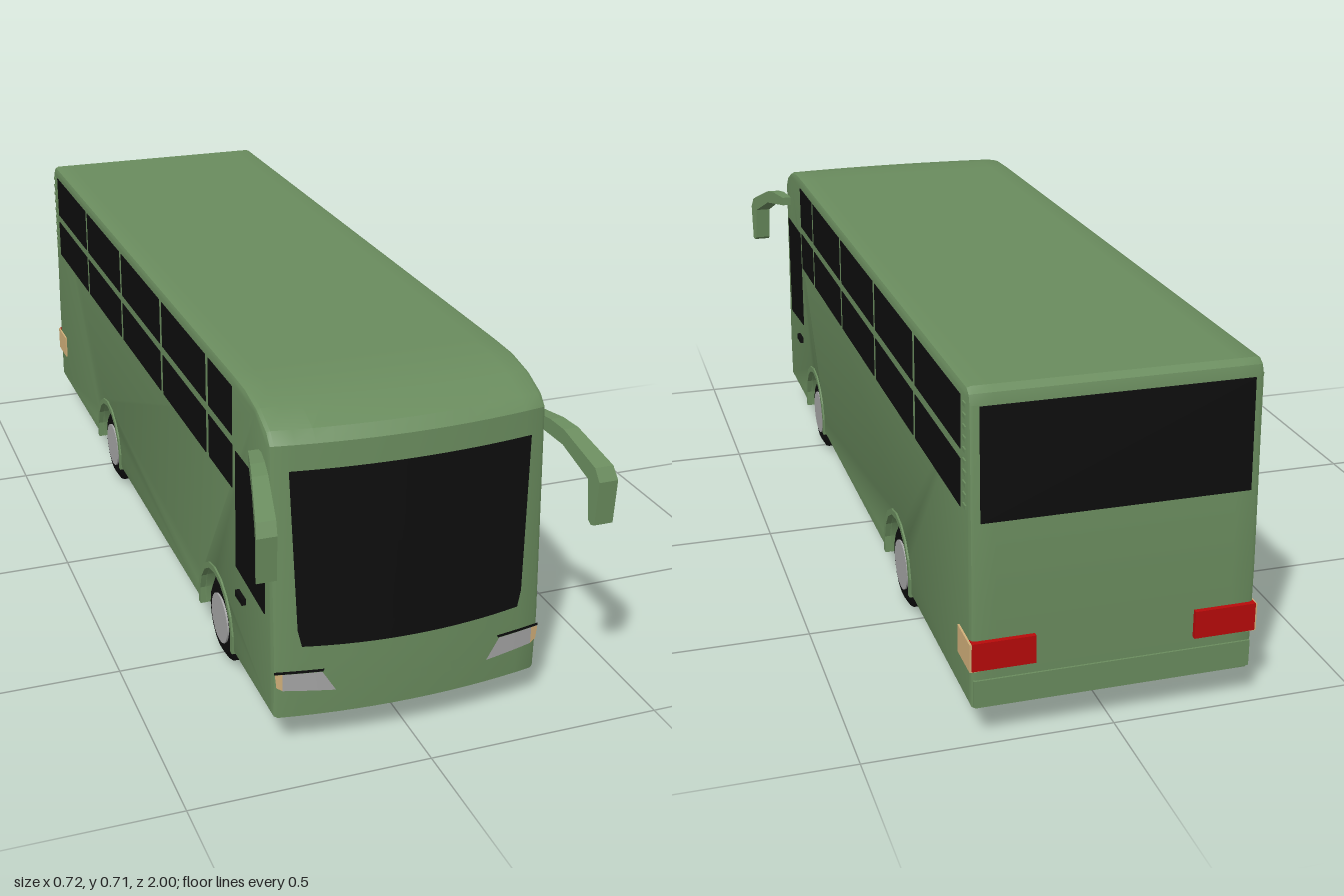
import * as THREE from 'three';
import { toCreasedNormals } from 'three/addons/utils/BufferGeometryUtils.js';

const HALF = 0.285;
const AXLES = [-0.42, 0.51];

export function createModel() {
  const bus = new THREE.Group();
  bus.name = 'bus';
  const mat = (name, color) => {
    const m = new THREE.MeshStandardMaterial({ color });
    m.name = name;
    return m;
  };
  const green = mat('green paint', 0x6a8c5e);
  const black = mat('black glass and rubber', 0x0d0d0d);
  const grey = mat('light grey', 0xa6a6a6);
  const red = mat('tail light red', 0xb80a0a);
  const amber = mat('amber lens', 0xd2b07a);

  const add = (name, geo, material) => {
    const m = new THREE.Mesh(geo, material);
    m.name = name;
    bus.add(m);
    return m;
  };
  // box given by its x, y and z ranges
  const box = (name, material, [x0, x1], [y0, y1], [z0, z1]) => {
    const m = add(name, new THREE.BoxGeometry(Math.abs(x1 - x0), y1 - y0, Math.abs(z1 - z0)), material);
    m.position.set((x0 + x1) / 2, (y0 + y1) / 2, (z0 + z1) / 2);
    return m;
  };
  const shapeOf = (pts) => new THREE.Shape(pts.map(([a, b]) => new THREE.Vector2(a, b)));
  const arc = (zc, r, from, to, n = 10) => Array.from({ length: n + 1 }, (_, i) => {
    const a = from + (to - from) * i / n;
    return [zc + r * Math.cos(a), 0.1 + r * Math.sin(a)];
  });
  // side outline (z, y) extruded across x and centred
  const across = (pts, width, extra = {}) => {
    const g = new THREE.ExtrudeGeometry(shapeOf(pts), { depth: width, bevelEnabled: false, ...extra });
    return g.translate(0, 0, -width / 2).rotateY(-Math.PI / 2);
  };
  const bow = (x) => 0.026 * (1 - Math.min(1, (x / HALF) ** 2));

  // Body shell with wheel arches and a bowed nose
  const outline = [[-0.99, 0.075]];
  for (const z of AXLES) outline.push(...arc(z, 0.108, Math.PI + 0.233, -0.233));
  outline.push([0.872, 0.075], [0.874, 0.2], [0.846, 0.65], [0.825, 0.672], [0.77, 0.695], [0.70, 0.708],
    [0.62, 0.71], [-0.955, 0.71], [-0.97, 0.70], [-0.976, 0.68], [-0.99, 0.30]);
  const shell = across(outline, HALF * 2 - 0.02, {
    steps: 14, bevelEnabled: true, bevelSize: 0.01, bevelThickness: 0.01, bevelOffset: -0.01, bevelSegments: 2,
  });
  const p = shell.attributes.position;
  for (let i = 0; i < p.count; i++) {
    const w = THREE.MathUtils.clamp((p.getZ(i) - 0.7) / 0.12, 0, 1);
    p.setZ(i, p.getZ(i) + w * bow(p.getX(i)));
  }
  add('body', toCreasedNormals(shell, 0.45), green);

  // Thin panel laid on the bowed nose; corners: top left, top right, bottom right, bottom left
  const nosePanel = (name, material, [tl, tr, br, bl], lift = 0.004, sag = 0) => {
    const g = new THREE.PlaneGeometry(1, 1, 16, 2);
    const a = g.attributes.position;
    for (let i = 0; i < a.count; i++) {
      const u = a.getX(i) + 0.5, v = a.getY(i) + 0.5;
      const mix = (k) => THREE.MathUtils.lerp(
        THREE.MathUtils.lerp(bl[k], br[k], u), THREE.MathUtils.lerp(tl[k], tr[k], u), v);
      const x = mix(0), y = mix(1) - sag * (1 - v) * 4 * u * (1 - u);
      const z = y < 0.2 ? 0.874 : 0.874 - 0.028 * (y - 0.2) / 0.45;
      a.setXYZ(i, x, y, z + bow(x) + lift);
    }
    g.computeVertexNormals();
    return add(name, g, material);
  };
  nosePanel('windscreen', black, [[-0.25, 0.6], [0.25, 0.6], [0.238, 0.27], [-0.238, 0.27]]);
  nosePanel('windscreenLower', black, [[-0.238, 0.27], [0.238, 0.27], [0.23, 0.235], [-0.23, 0.235]], 0.004, 0.007);
  nosePanel('bumperInset', green, [[-0.14, 0.148], [0.14, 0.148], [0.11, 0.125], [-0.11, 0.125]], 0.003);

  // Rear window
  const rear = box('rearWindow', black, [-0.265, 0.265], [0.455, 0.678], [-0.984, -0.976]);
  rear.rotation.x = 0.037;
  box('rearBumper', green, [-0.28, 0.28], [0.08, 0.135], [-0.994, -0.98]);

  const columns = [[0.475, 0.63], [0.13, 0.455], [-0.225, 0.11], [-0.575, -0.245], [-0.925, -0.595]];
  for (const s of [1, -1]) {
    const sx = (a, b) => [s * a, s * b];
    // Side glazing in two rows
    for (const col of columns) {
      box('upperSideWindow', black, sx(0.28, 0.2865), [0.58, 0.685], col);
      box('lowerSideWindow', black, sx(0.28, 0.2865), [0.465, 0.56], col);
    }
    const door = across([[0.65, 0.297], [0.825, 0.285], [0.825, 0.555], [0.65, 0.555]], 0.007);
    add('cabWindow', door, black).position.x = s * 0.283;
    box('doorHandle', black, sx(0.28, 0.294), [0.24, 0.254], [0.667, 0.71]);
    for (let i = 0; i < 10; i++) {
      const y = 0.475 + i * 0.022;
      box('ventSlat', green, sx(0.28, 0.288), [y, y + 0.008], [-0.963, -0.945]);
    }

    // Lamps
    const q = [[0.19, 0.175], [0.268, 0.177], [0.268, 0.14], [0.162, 0.13]];
    const ind = [[0.268, 0.177], [0.283, 0.177], [0.28, 0.148], [0.268, 0.14]];
    const side = (c) => s > 0 ? c : [c[1], c[0], c[3], c[2]].map(([x, y]) => [-x, y]);
    nosePanel('headlight', grey, side(q));
    nosePanel('frontIndicator', amber, side(ind));
    const brow = [[0.185, 0.181], [0.284, 0.183], [0.284, 0.177], [0.188, 0.175]];
    nosePanel('headlightBrow', black, side(brow), 0.003);
    box('tailLight', red, sx(0.16, 0.285), [0.16, 0.218], [-1, -0.98]);
    box('rearSideMarker', amber, sx(0.27, 0.289), [0.158, 0.216], [-0.998, -0.915]);

    // Mirror arm, splayed outwards and widening towards the tip
    const arm = across([[0.79, 0.6], [0.89, 0.585], [0.968, 0.545], [0.978, 0.462], [0.986, 0.455], [0.996, 0.458],
      [1, 0.55], [0.985, 0.575], [0.89, 0.617], [0.85, 0.623], [0.79, 0.621]], 1);
    const a = arm.attributes.position;
    for (let i = 0; i < a.count; i++) {
      const t = (a.getZ(i) - 0.79) / 0.21;
      a.setX(i, a.getX(i) * (0.024 + 0.016 * t) + s * (0.294 + 0.048 * t));
    }
    arm.computeVertexNormals();
    add('mirror', arm, green);

    // Wheels and arch trims
    for (const z of AXLES) {
      const trim = across([...arc(z, 0.12, Math.PI + 0.2, -0.2), ...arc(z, 0.107, -0.23, Math.PI + 0.23)], 0.012);
      add('archTrim', trim, green).position.x = s * 0.283;
      for (const x of z < 0 ? [0.245, 0.18] : [0.245]) {
        const profile = [[0, -0.03], [0.075, -0.03], [0.095, -0.018], [0.095, 0.018], [0.075, 0.03], [0, 0.03]];
        const tyre = new THREE.LatheGeometry(profile.map(([r, h]) => new THREE.Vector2(r, h)), 18);
        const wheel = add('tyre', toCreasedNormals(tyre.rotateZ(-Math.PI / 2), 0.5), black);
        wheel.position.set(s * x, 0.095, z);
      }
      const hub = add('hubcap', new THREE.CylinderGeometry(0.055, 0.055, 0.008, 20).rotateZ(Math.PI / 2), grey);
      hub.position.set(s * 0.275, 0.095, z);
    }
  }

  // Chassis between the wheels
  for (const z of AXLES) {
    box('axleBeam', green, [-0.22, 0.22], [0.057, 0.09], [z - 0.025, z + 0.025]);
    box('wheelWellCore', green, [-0.14, 0.14], [0.1, 0.215], [z - 0.107, z + 0.107]);
  }
  return bus;
}
